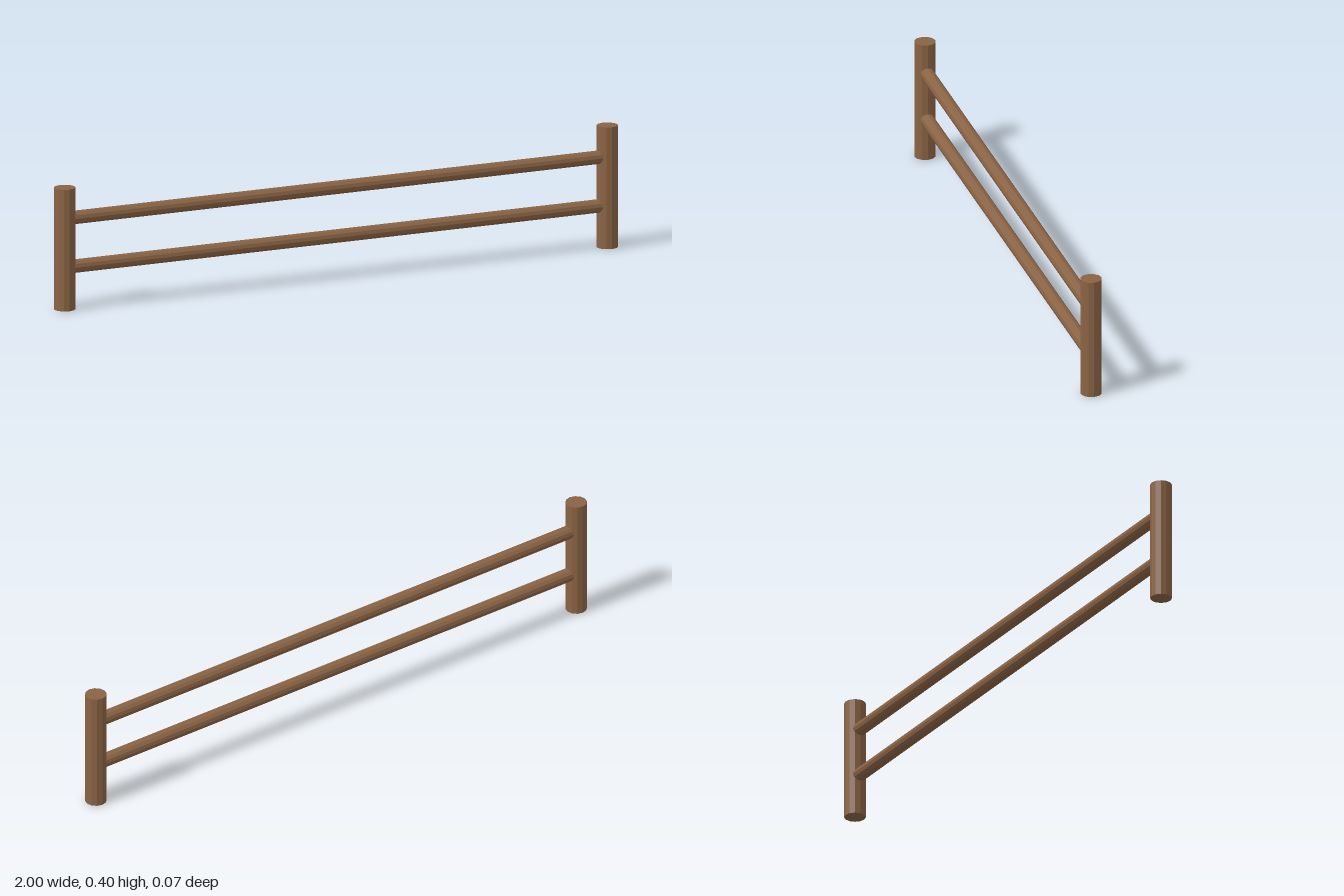
import * as THREE from 'three';

export function createModel() {
  const group = new THREE.Group();
  const wood = new THREE.MeshStandardMaterial({ color: 0x8a6344, flatShading: true });
  const postX = 0.965;

  // Upright round posts at both ends
  const postGeometry = new THREE.CylinderGeometry(0.035, 0.035, 0.402, 12);
  for (const side of [-1, 1]) {
    const post = new THREE.Mesh(postGeometry, wood);
    post.name = side > 0 ? 'leftPost' : 'rightPost';
    post.position.set(side * postX, 0.201, 0);
    group.add(post);
  }

  // Horizontal rails running into the posts
  const railGeometry = new THREE.CylinderGeometry(0.0225, 0.0225, postX * 2, 12).rotateZ(Math.PI / 2);
  for (const [name, y] of [['lowerRail', 0.138], ['upperRail', 0.299]]) {
    const rail = new THREE.Mesh(railGeometry, wood);
    rail.name = name;
    rail.position.y = y;
    group.add(rail);
  }

  return group;
}
